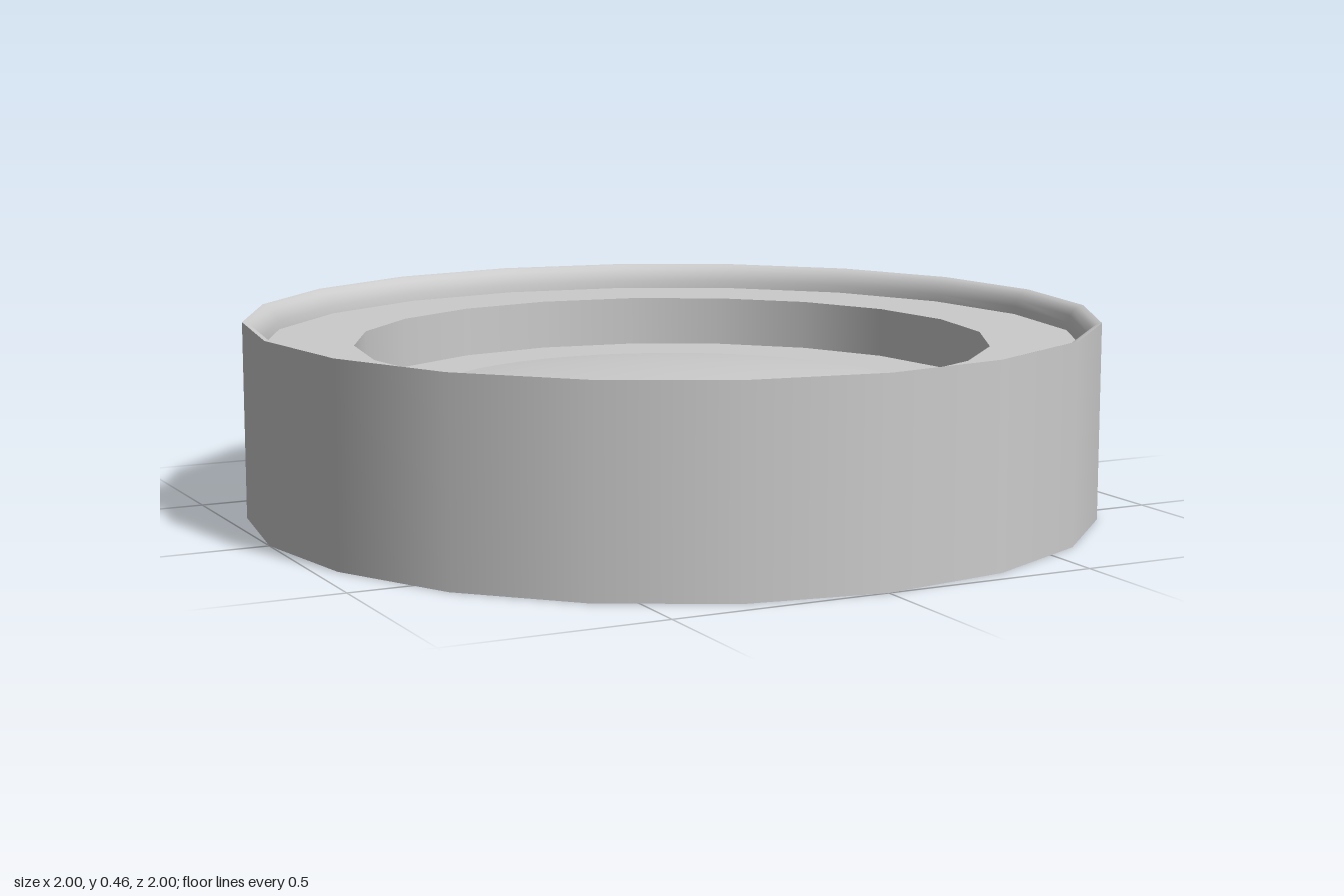
import * as THREE from 'three';

const SIDES = 20;
const material = new THREE.MeshStandardMaterial({ color: 0xcccccc });

// One smooth band of revolution; separate bands keep the edges between them sharp.
function band(name, profile, sides = SIDES) {
  const points = profile.map(([r, y]) => new THREE.Vector2(r, y));
  const mesh = new THREE.Mesh(new THREE.LatheGeometry(points, sides), material);
  mesh.name = name;
  return mesh;
}

export function createModel() {
  const group = new THREE.Group();
  group.name = 'roundDish';

  const height = 0.46, ledgeY = 0.4, floorY = 0.28;
  const ledgeOuter = 0.96, ledgeInner = 0.745;

  // Rounded lip curving from the top edge down to the ledge
  const lip = [];
  for (let i = 0; i <= 5; i++) {
    const a = (i / 5) * Math.PI / 2;
    lip.push([1 - (1 - ledgeOuter) * Math.sin(a), ledgeY + (height - ledgeY) * Math.cos(a)]);
  }

  // Shallow spherical dome on the recessed floor
  const domeR = 0.573, domeH = 0.04;
  const sphereR = (domeR * domeR + domeH * domeH) / (2 * domeH);
  const dome = [];
  for (let i = 0; i <= 8; i++) {
    const r = domeR * (1 - i / 8);
    dome.push([r, floorY + domeH - sphereR + Math.sqrt(sphereR * sphereR - r * r)]);
  }

  group.add(
    band('base', [[0, 0], [1, 0]]),
    band('outerWall', [[1, 0], [1, height]]),
    band('lip', lip),
    band('ledge', [[ledgeOuter, ledgeY], [ledgeInner, ledgeY]]),
    band('innerWall', [[ledgeInner, ledgeY], [ledgeInner, floorY]]),
    band('floor', [[ledgeInner, floorY], [0, floorY]]),
    band('dome', dome, 48),
  );
  return group;
}
